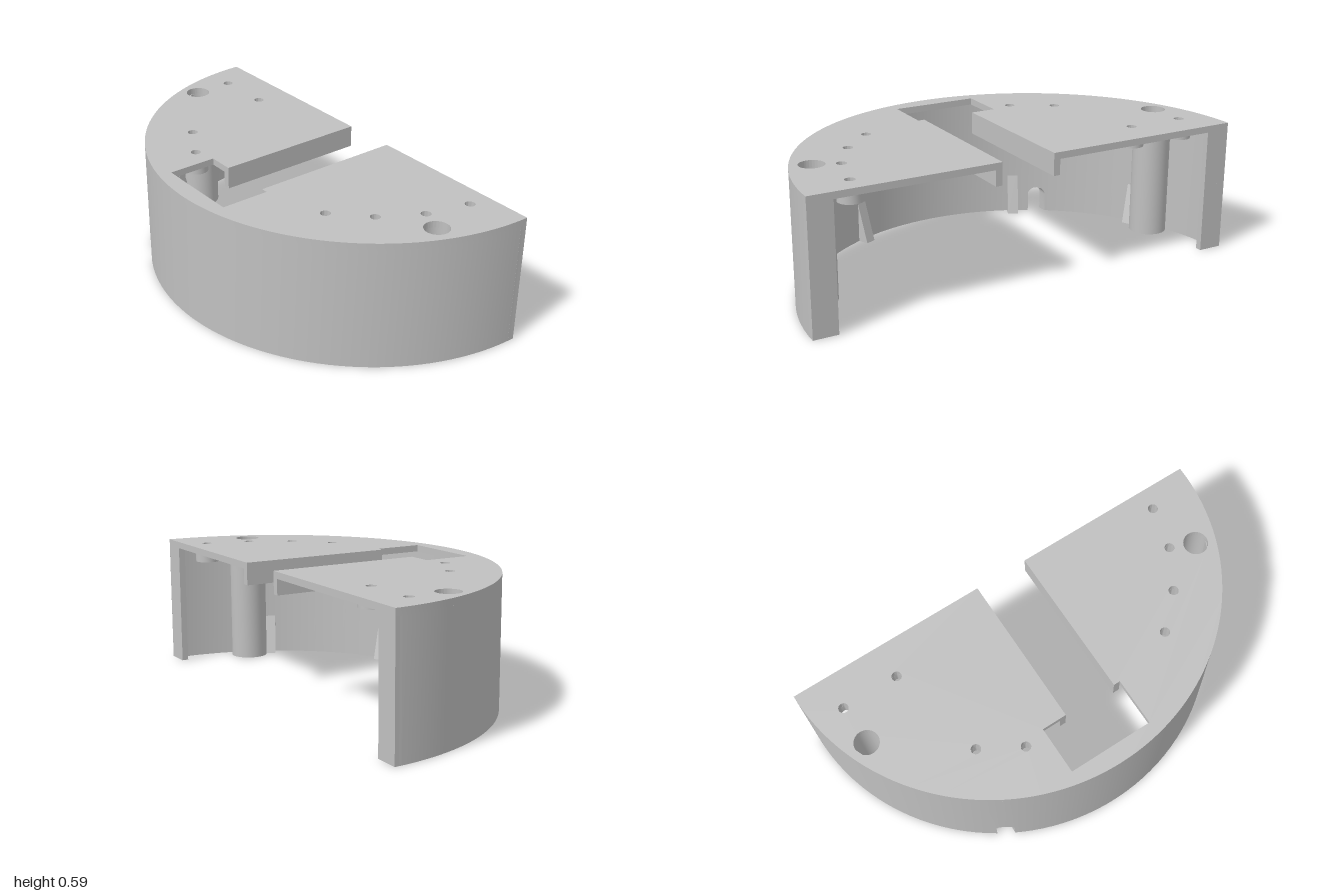
import * as THREE from 'three';
import { toCreasedNormals } from 'three/addons/utils/BufferGeometryUtils.js';

const HEIGHT = 0.59, PLATE = 0.03, UNDER = HEIGHT - PLATE;
const CZ = -0.5, OUTER = 1, INNER = 0.96;
const rad = THREE.MathUtils.degToRad;

const POSTS = [[-0.845, -0.155], [0.84, -0.155]];
const HOLES = [
  [-0.85, -0.34], [-0.59, -0.34], [-0.48, 0.12], [-0.3, 0.225],
  [0.48, 0.12], [0.625, -0.02], [0.73, -0.2], [0.78, -0.4],
];

// Half-disc top plate with slot, notch and screw holes
function plateGeometry() {
  const s = new THREE.Shape();
  s.absarc(0, -CZ, OUTER, Math.PI, Math.PI * 2, false);
  for (const [x, z] of [[0.16, -0.5], [0.16, 0.2], [0.19, 0.2], [0.19, 0.42],
    [-0.2, 0.42], [-0.2, 0.2], [-0.085, 0.2], [-0.085, -0.5]]) s.lineTo(x, -z);
  s.closePath();
  const hole = (x, z, r) => s.holes.push(new THREE.Path().absarc(x, -z, r, 0, Math.PI * 2, true));
  POSTS.forEach(([x, z]) => hole(x, z, 0.055));
  HOLES.forEach(([x, z]) => hole(x, z, 0.022));
  const g = new THREE.ExtrudeGeometry(s, { depth: PLATE, bevelEnabled: false, curveSegments: 60 });
  g.rotateX(-Math.PI / 2);
  return toCreasedNormals(g, rad(30));
}

// Curved wall: a rectangular section swept round, its lower edge raised at the cable arch
function wallGeometry() {
  const sections = [];
  const add = (xo, xi, y) => {
    const zo = CZ + Math.sqrt(Math.max(0, OUTER ** 2 - xo * xo));
    const zi = CZ + Math.sqrt(Math.max(0, INNER ** 2 - xi * xi));
    sections.push([[xi, y, zi], [xo, y, zo], [xo, UNDER, zo], [xi, UNDER, zi]]);
  };
  const radial = (a) => add(OUTER * Math.sin(rad(a)), INNER * Math.sin(rad(a)), 0);
  for (let a = -90; a <= -36; a += 3) radial(a);
  const cx = -0.51, r = 0.035;
  add(cx - r, cx - r, 0);
  for (let i = 0; i <= 12; i++) {
    const t = Math.PI * (1 - i / 12), x = cx + r * Math.cos(t);
    add(x, x, 0.085 + r * Math.sin(t));
  }
  add(cx + r, cx + r, 0);
  for (let a = -27; a <= 90; a += 3) radial(a);

  const pos = [];
  for (let i = 0; i < sections.length - 1; i++) {
    for (let k = 0; k < 4; k++) {
      const n = (k + 1) % 4, A = sections[i], B = sections[i + 1];
      pos.push(...A[k], ...B[k], ...B[n], ...A[k], ...B[n], ...A[n]);
    }
  }
  const g = new THREE.BufferGeometry();
  g.setAttribute('position', new THREE.Float32BufferAttribute(pos, 3));
  return toCreasedNormals(g, rad(30));
}

function lathe(points, segments) {
  const g = new THREE.LatheGeometry(points.map(([r, y]) => new THREE.Vector2(r, y)), segments);
  return toCreasedNormals(g, rad(35));
}

export function createModel() {
  const model = new THREE.Group();
  const grey = new THREE.MeshStandardMaterial({ color: 0xc0c0c0, side: THREE.DoubleSide });
  grey.name = 'grey plastic';
  const add = (name, geometry, x = 0, y = 0, z = 0) => {
    const m = new THREE.Mesh(geometry, grey);
    m.name = name;
    m.position.set(x, y, z);
    model.add(m);
    return m;
  };

  add('topPlate', plateGeometry(), 0, UNDER, 0);
  add('curvedWall', wallGeometry());

  // Flat lips closing the wall ends at the back
  for (const s of [-1, 1]) {
    add('endLip', new THREE.BoxGeometry(0.11, UNDER, 0.03), s * 0.9445, UNDER / 2, CZ + 0.015);
  }

  // Hanging rims along both sides of the slot
  for (const x of [0.175, -0.1]) {
    add('slotRim', new THREE.BoxGeometry(0.03, 0.07, 0.7), x, UNDER - 0.035, -0.15);
  }

  // Long screw posts with a counterbore from above
  const post = lathe([[0.055, UNDER], [0.055, 0.25], [0.025, 0.25], [0.025, 0],
    [0.086, 0], [0.086, UNDER]], 32);
  POSTS.forEach(([x, z]) => add('screwPost', post, x, 0, z));

  // Short standoffs under the plate holes
  const standoff = lathe([[0.022, UNDER], [0.022, 0.505], [0.055, 0.505], [0.055, UNDER]], 24);
  HOLES.forEach(([x, z]) => add('standoff', standoff, x, 0, z));

  // Small tapered wedges on the inside of the wall
  const tri = new THREE.Shape([[0, 0], [0.06, 0], [0, 0.22]].map(([x, y]) => new THREE.Vector2(x, y)));
  const wedge = new THREE.ExtrudeGeometry(tri, { depth: 0.05, bevelEnabled: false });
  wedge.translate(0, 0, -0.025);
  for (const a of [-61, -25, 25, 61]) {
    const p = rad(a);
    const m = add('wallWedge', wedge, 0.97 * Math.sin(p), 0, CZ + 0.97 * Math.cos(p));
    m.rotation.y = p + Math.PI / 2;
  }
  return model;
}
